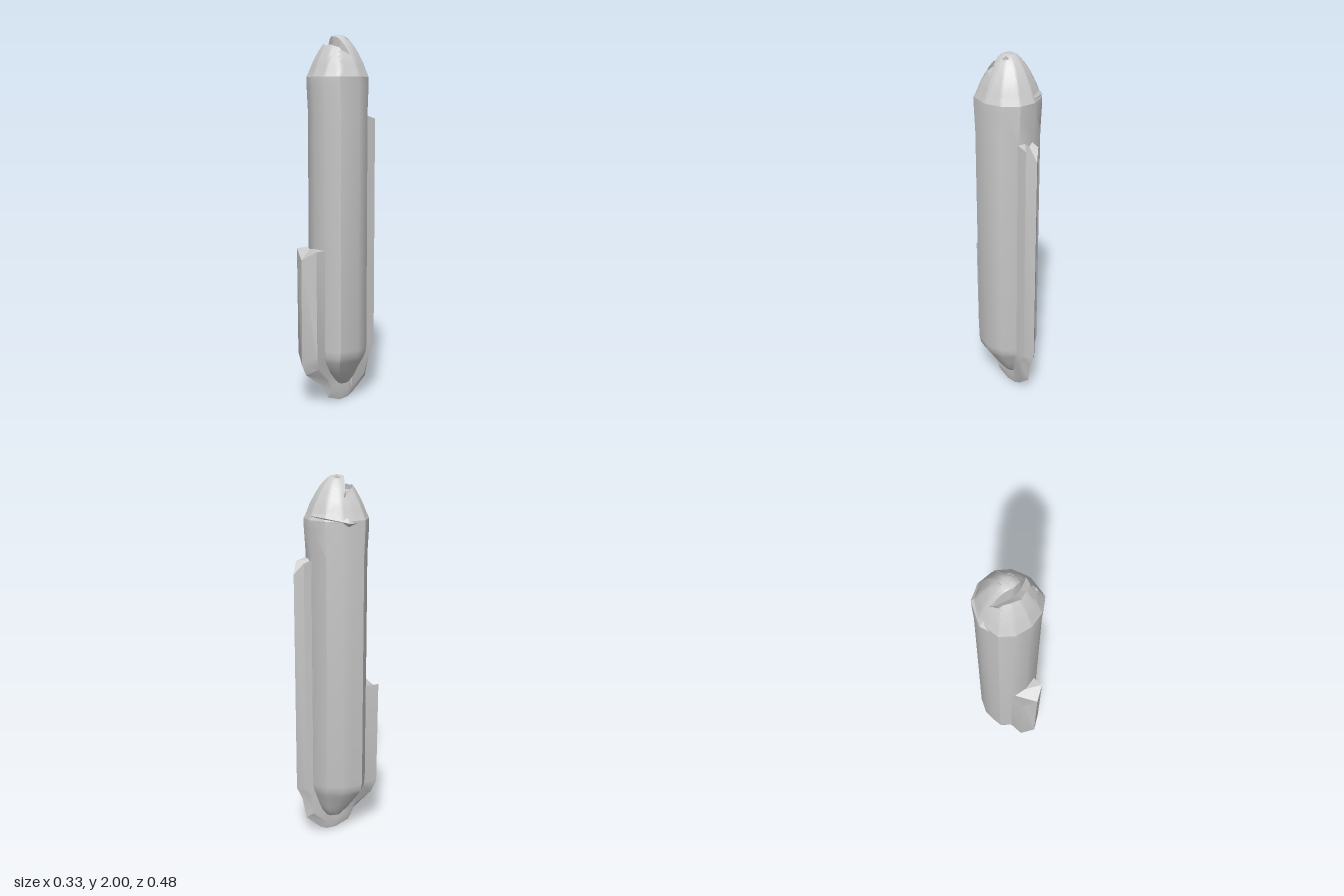
import * as THREE from 'three';
import { toCreasedNormals } from 'three/addons/utils/BufferGeometryUtils.js';

const material = new THREE.MeshStandardMaterial({ color: 0xcccccc, side: THREE.DoubleSide });

// Piecewise linear lookup through [in, out] pairs
function interp(pairs, v) {
  if (v <= pairs[0][0]) return pairs[0][1];
  for (let i = 1; i < pairs.length; i++) {
    const [a, b] = [pairs[i - 1], pairs[i]];
    if (v <= b[0]) return b[0] === a[0] ? b[1] : a[1] + (b[1] - a[1]) * (v - a[0]) / (b[0] - a[0]);
  }
  return pairs[pairs.length - 1][1];
}

// Skin rows of points; optionally close each row and cap both ends
function loft(name, rows, { closed = false, caps = false, crease = 0.62 } = {}) {
  const n = rows[0].length;
  const index = [];
  for (let i = 0; i < rows.length - 1; i++) {
    for (let j = 0; j < (closed ? n : n - 1); j++) {
      const a = i * n + j, b = i * n + (j + 1) % n;
      index.push(a, b + n, b, a, a + n, b + n);
    }
  }
  if (caps) {
    const last = (rows.length - 1) * n;
    for (let j = 1; j < n - 1; j++) index.push(0, j, j + 1, last, last + j + 1, last + j);
  }
  const geometry = new THREE.BufferGeometry();
  geometry.setAttribute('position', new THREE.Float32BufferAttribute(rows.flat(2), 3));
  geometry.setIndex(index);
  const mesh = new THREE.Mesh(toCreasedNormals(geometry, crease), material);
  mesh.name = name;
  return mesh;
}

// Body outline seen from above, as [x, z] chains running from -x to +x
const backEdge = [[-0.155, 0.01], [-0.148, -0.05], [-0.105, -0.127], [-0.017, -0.167],
  [0.072, -0.155], [0.14, -0.09], [0.167, 0]];
const frontEdge = [[-0.155, 0.01], [-0.153, 0.08], [-0.1, 0.135], [-0.017, 0.162],
  [0.07, 0.153], [0.14, 0.11], [0.167, 0]];
const outline = [...backEdge, ...frontEdge.slice(1, -1).reverse()];

// Relative distance from the axis: 0 in the middle, 1 on the outline
function reach(x, z) {
  let r = 0;
  outline.forEach(([ax, az], i) => {
    const [bx, bz] = outline[(i + 1) % outline.length];
    const nx = bz - az, nz = ax - bx;
    r = Math.max(r, (nx * x + nz * z) / (nx * ax + nz * az));
  });
  return r;
}

// Shaft with a tapered lower end: [y, scale, z shift, z scale]
function makeBody() {
  const rings = [[0.09, 0.08, -0.03, 1], [0.1, 0.25, -0.025, 1], [0.14, 0.42, -0.02, 1.1],
    [0.18, 0.57, -0.01, 1.1], [0.25, 0.84, 0, 1], [0.28, 0.94, 0, 0.97], [0.32, 0.99, 0, 0.95],
    [1.6, 0.99, 0, 0.95], [1.74, 1, 0, 1], [1.78, 1, 0, 1]];
  const rows = rings.map(([y, s, dz, sz]) => outline.map(([x, z]) => [x * s, y, z * s * sz + dz]));
  return loft('body', rows, { closed: true, caps: true });
}

// Rounded top with a curved mouth-like notch and two small pits
function makeDome() {
  const profile = [[0, 2], [0.2, 1.993], [0.33, 1.977], [0.5, 1.945], [0.62, 1.915], [0.8, 1.86], [0.92, 1.81], [1, 1.78]];
  const upper = [[-0.105, -0.018], [-0.09, -0.002], [0, 0.037], [0.05, 0.035], [0.112, 0.016]];
  const lower = [[-0.105, -0.018], [-0.092, 0.03], [-0.05, 0.062], [-0.005, 0.083],
    [0.05, 0.073], [0.09, 0.057], [0.112, 0.016]];
  const eyes = [[-0.041, -0.022, -0.01, -0.9], [0.034, 0.052, -0.015, 0.4]]; // x0, x1, centre z, slant
  const xs = [...outline, ...upper, ...lower].map(p => p[0]);
  for (let i = 1; i < 30; i++) xs.push(-0.155 + i * 0.322 / 30);
  for (const [a, b] of eyes) xs.push(a, a + 1e-4, b - 1e-4, b);
  const columns = [...new Set(xs)].sort((a, b) => b - a);

  const rows = columns.map(x => {
    const back = interp(backEdge, x), front = interp(frontEdge, x);
    const clamp = (v, lo, hi) => Math.min(Math.max(v, lo), hi);
    const zu = clamp(interp(upper, x), back, front);
    const zl = clamp(interp(lower, x), zu, front);
    const eye = eyes.find(e => x > e[0] && x < e[1]);
    const mid = eye ? eye[2] + eye[3] * (x - (eye[0] + eye[1]) / 2) - 0.005 : -0.018;
    const e0 = clamp(mid - 0.011, back, zu), e1 = clamp(mid + 0.011, back, zu);
    const surface = z => interp(profile, reach(x, z));
    const row = [];
    const span = (a, b, steps, height) => {
      for (let k = 0; k <= steps; k++) {
        const z = a + (b - a) * k / steps;
        row.push([x, height(z), z]);
      }
    };
    span(back, e0, 9, surface);
    span(e0, e1, 2, z => surface(z) - (eye ? 0.015 : 0));
    span(e1, zu, 4, surface);
    span(zu, zl, 3, z => Math.min(surface(z), 1.89 + 0.7 * (z - zu)));
    span(zl, front, 8, surface);
    return row;
  });
  return loft('dome', rows);
}

// Ridged band: down the front, under the body and up the back
// [ridge z, y, shoulder z, y, inner z, y, centre x, half width]
function makeKeel() {
  const stations = [
    [0.24, 0.82, 0.205, 0.87, 0.1, 0.87, -0.022, 0.081],
    [0.24, 0.24, 0.2, 0.29, 0.1, 0.3, -0.022, 0.081],
    [0.215, 0.18, 0.18, 0.22, 0.08, 0.25, -0.018, 0.062],
    [0.11, 0.1, 0.1, 0.14, 0.05, 0.17, -0.003, 0.032],
    [0.08, 0.03, 0.07, 0.07, 0.03, 0.14, 0.005, 0.016],
    [0, 0, 0, 0.05, 0, 0.14, 0.01, 0.012],
    [-0.06, 0.003, -0.05, 0.05, -0.03, 0.14, 0.01, 0.012],
    [-0.1, 0.022, -0.08, 0.06, -0.05, 0.15, 0.01, 0.015],
    [-0.185, 0.1, -0.155, 0.13, -0.07, 0.19, 0.02, 0.028],
    [-0.205, 0.22, -0.17, 0.24, -0.09, 0.27, 0.03, 0.039],
    [-0.237, 0.29, -0.2, 0.3, -0.1, 0.32, 0.033, 0.043],
    [-0.237, 1.5, -0.2, 1.56, -0.1, 1.59, 0.033, 0.043],
  ];
  const rows = stations.map(([rz, ry, sz, sy, iz, iy, x, w]) => [
    [x - w, iy, iz], [x - w, sy, sz], [x, ry, rz], [x + w, sy, sz], [x + w, iy, iz]]);
  return loft('keel', rows, { closed: true, caps: true, crease: 0.4 });
}

// Thin raised lip wrapping one upper side of the body: [x, z, y]
function makeLip() {
  const edge = [[-0.02, -0.16, 1.8], [-0.106, -0.128, 1.795], [-0.168, -0.02, 1.77], [-0.153, 0.035, 1.765]];
  const rows = edge.map(([x, z, y]) => [
    [x * 0.85, y + 0.03, z * 0.85], [x, y, z], [x * 0.85, y - 0.03, z * 0.85]]);
  return loft('sideLip', rows, { closed: true, caps: true, crease: 0.3 });
}

export function createModel() {
  const group = new THREE.Group();
  group.name = 'ribbedCapsule';
  group.add(makeBody(), makeDome(), makeKeel(), makeLip());
  return group;
}
